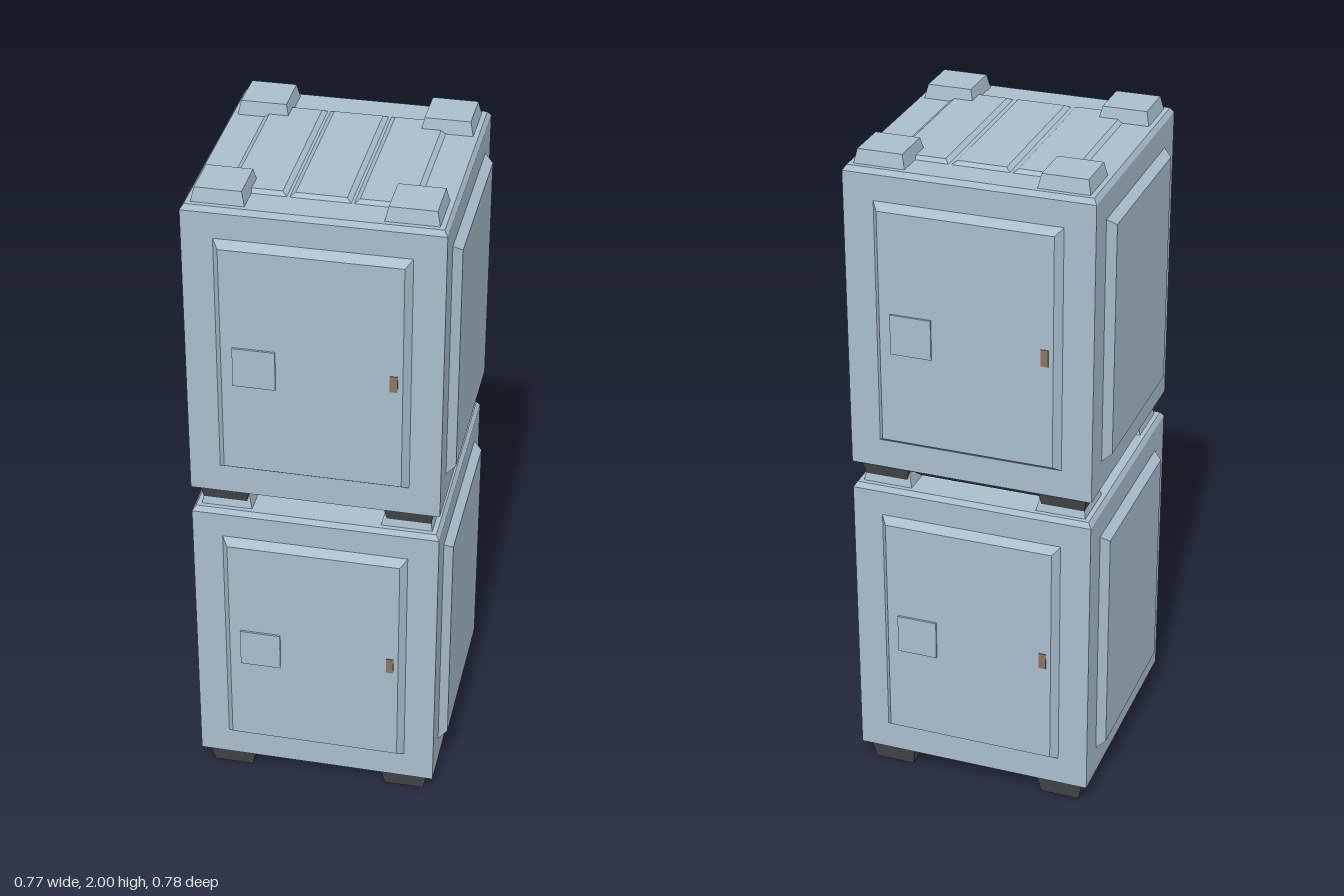
import * as THREE from 'three';

const material = (name, color) => {
  const m = new THREE.MeshStandardMaterial({ color, flatShading: true });
  m.name = name;
  return m;
};

// Stack of square sections [half width, height], closed at both ends.
function squareLoft(sections) {
  const k = Math.SQRT2;
  const pts = [
    new THREE.Vector2(0, sections[0][1]),
    ...sections.map(([half, y]) => new THREE.Vector2(half * k, y)),
    new THREE.Vector2(0, sections.at(-1)[1]),
  ];
  return new THREE.LatheGeometry(pts, 4, Math.PI / 4);
}

// Tapered rectangular block rising from y = 0.
function taperedBlock(w, d, h, inset) {
  const g = new THREE.BoxGeometry(w, h, d).translate(0, h / 2, 0);
  const p = g.attributes.position;
  for (let i = 0; i < p.count; i++) {
    if (p.getY(i) < h / 2) continue;
    p.setX(i, p.getX(i) - Math.sign(p.getX(i)) * inset);
    p.setZ(i, p.getZ(i) - Math.sign(p.getZ(i)) * inset);
  }
  return g;
}

// Square outline with cut corners.
function cutSquare(half, cut) {
  const c = half - cut;
  return [[half, c], [c, half], [-c, half], [-half, c],
    [-half, -c], [-c, -half], [c, -half], [half, -c]];
}

// Flared underside wall joining two cut squares.
function flaredSkirt(low, yLow, high, yHigh) {
  const pos = [], index = [];
  for (let i = 0; i < 8; i++) {
    pos.push(low[i][0], yLow, low[i][1], high[i][0], yHigh, high[i][1]);
    const a = 2 * i, b = 2 * ((i + 1) % 8);
    index.push(a, a + 1, b, b, a + 1, b + 1);
  }
  const g = new THREE.BufferGeometry();
  g.setAttribute('position', new THREE.Float32BufferAttribute(pos, 3));
  g.setIndex(index);
  g.computeVertexNormals();
  return g;
}

export function createModel() {
  const steel = material('paleBlueSteel', 0xa9becd);
  const dark = material('darkFeet', 0x43464a);
  const brown = material('brownHinge', 0x8a7462);
  dark.side = THREE.DoubleSide;

  const add = (parent, name, geometry, mat, x = 0, y = 0, z = 0) => {
    const mesh = new THREE.Mesh(geometry, mat);
    mesh.name = name;
    mesh.position.set(x, y, z);
    parent.add(mesh);
    return mesh;
  };

  const bodyGeo = squareLoft([[0.345, 0.06], [0.36, 0.07], [0.36, 0.965], [0.35, 0.98]]);
  const panelGeo = taperedBlock(0.55, 0.74, 0.03, 0.022).rotateX(Math.PI / 2);
  const ribGeo = taperedBlock(0.17, 0.52, 0.01, 0.015);
  const topBlockGeo = taperedBlock(0.15, 0.15, 0.045, 0.01);
  const footGeo = taperedBlock(0.12, 0.12, 0.065, -0.012);
  const skirtGeo = flaredSkirt(cutSquare(0.28, 0.1), 0.015, cutSquare(0.33, 0.1), 0.065);
  const plateShape = new THREE.Shape(cutSquare(0.28, 0.1).map(([x, z]) => new THREE.Vector2(x, z)));
  const plateGeo = new THREE.ShapeGeometry(plateShape).rotateX(Math.PI / 2);
  const latchGeo = new THREE.BoxGeometry(0.12, 0.12, 0.008);
  const hingeGeo = new THREE.BoxGeometry(0.022, 0.05, 0.008);

  function crate(name, base) {
    const g = new THREE.Group();
    g.name = name;
    g.position.y = base;
    add(g, 'body', bodyGeo, steel);

    // Raised panel on each side
    ['front', 'left', 'back', 'right'].forEach((side, i) => {
      const face = new THREE.Group();
      face.name = side + 'Side';
      face.rotation.y = i * Math.PI / 2;
      add(face, side + 'Panel', panelGeo, steel, 0, 0.523, 0.355);
      // Latch and hinge on the door faces
      if (i % 2 === 0) {
        add(face, 'latchPlate', latchGeo, steel, -0.16, 0.51, 0.387);
        add(face, 'hinge', hingeGeo, brown, 0.228, 0.51, 0.383);
      }
      g.add(face);
    });

    // Ribs across the lid
    for (const x of [-0.175, 0, 0.175]) add(g, 'lidRib', ribGeo, steel, x, 0.979, 0);

    // Stacking blocks above and feet below at the corners
    for (const sx of [-1, 1]) for (const sz of [-1, 1]) {
      add(g, 'stackingBlock', topBlockGeo, steel, sx * 0.262, 0.975, sz * 0.262);
      add(g, 'foot', footGeo, dark, sx * 0.267, 0, sz * 0.267);
    }

    // Recessed underside
    add(g, 'undersideSkirt', skirtGeo, dark);
    add(g, 'undersidePlate', plateGeo, steel, 0, 0.015, 0);
    return g;
  }

  const model = new THREE.Group();
  model.name = 'stackedCrates';
  model.add(crate('lowerCrate', 0), crate('upperCrate', 0.98));
  return model;
}
